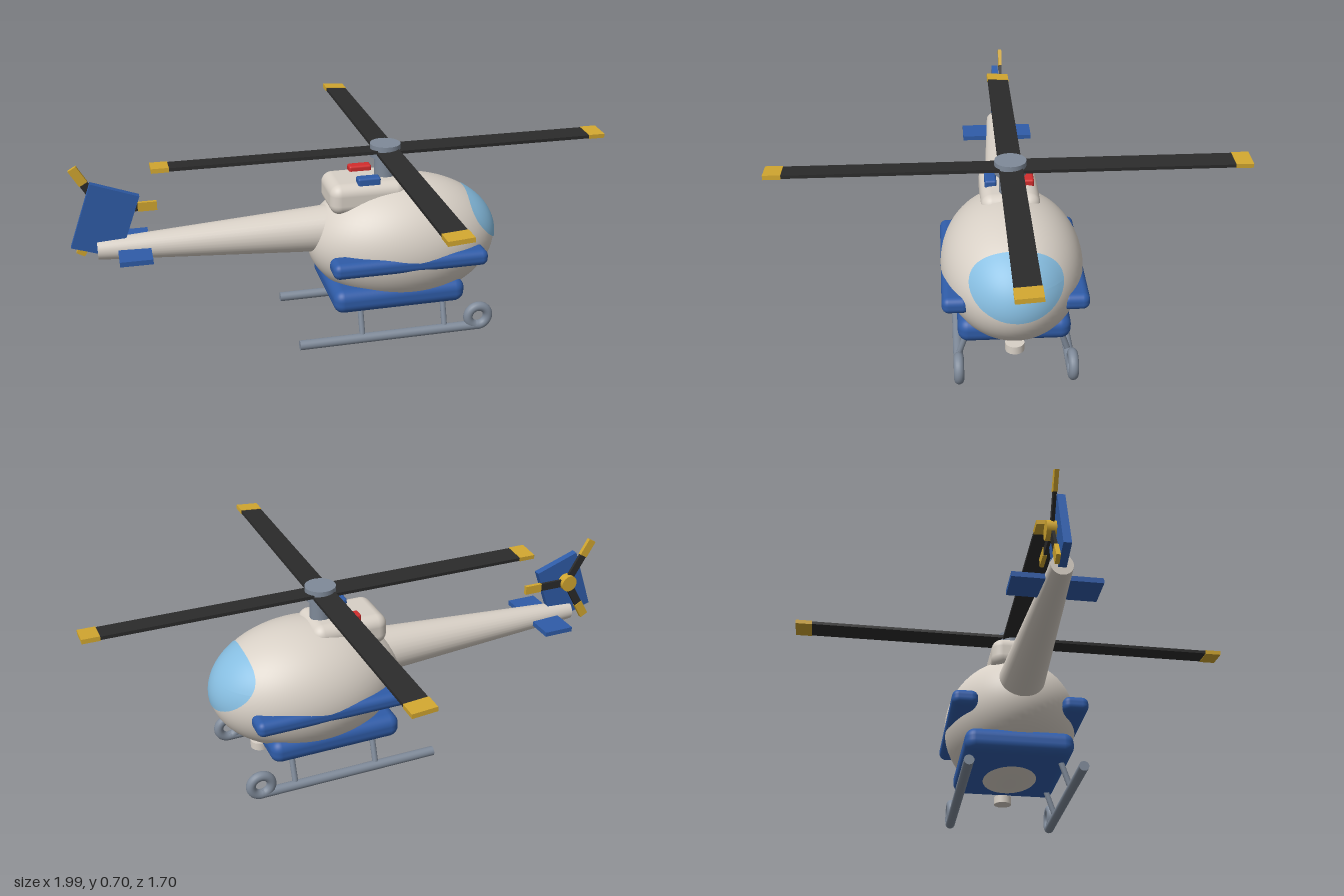
import * as THREE from 'three';
import { RoundedBoxGeometry } from 'three/addons/geometries/RoundedBoxGeometry.js';

const paint = (name, color) => Object.assign(new THREE.MeshStandardMaterial({ color }), { name });

export function createModel() {
  const cream = paint('cream', 0xd8d0c6);
  const blue = paint('blue', 0x2f5ca8);
  const glass = paint('glass', 0x86bde0);
  const grey = paint('grey', 0x7f8a99);
  const dark = paint('dark', 0x2b2b2b);
  const yellow = paint('yellow', 0xd2a730);
  const red = paint('red', 0xd22d2d);

  const model = new THREE.Group();
  model.name = 'helicopter';

  const add = (name, geometry, material, x = 0, y = 0, z = 0, parent = model) => {
    const mesh = new THREE.Mesh(geometry, material);
    mesh.name = name;
    mesh.position.set(x, y, z);
    parent.add(mesh);
    return mesh;
  };
  const box = (w, h, d) => new THREE.BoxGeometry(w, h, d);
  const cylinder = (r, h, r2 = r) => new THREE.CylinderGeometry(r, r2, h, 32);

  // Egg-shaped cabin
  const centre = new THREE.Vector3(0.21, 0.335, 0);
  const radii = new THREE.Vector3(0.36, 0.237, 0.253);
  add('cabin', new THREE.SphereGeometry(1, 64, 40).scale(...radii), cream, ...centre);

  // Windscreen: an oval laid onto the nose of the cabin
  const screen = new THREE.RingGeometry(0.001, 1, 48, 10);
  const p = screen.attributes.position;
  for (let i = 0; i < p.count; i++) {
    const y = 0.413 + 0.103 * p.getY(i), z = -0.16 * p.getX(i);
    const k = 1 - ((y - centre.y) / radii.y) ** 2 - (z / radii.z) ** 2;
    p.setXYZ(i, centre.x + radii.x * Math.sqrt(Math.max(k, 0)) + 0.004, y, z);
  }
  screen.computeVertexNormals();
  add('windscreen', screen, glass);

  // Tail boom and engine cover
  add('tailBoom', cylinder(0.036, 0.95, 0.094).rotateZ(Math.PI / 2), cream, -0.435, 0.39, 0);
  add('engineCover', new RoundedBoxGeometry(0.285, 0.115, 0.21, 5, 0.04), cream, 0.062, 0.527, 0);
  add('leftBeacon', new RoundedBoxGeometry(0.085, 0.035, 0.042, 3, 0.008), blue, 0.064, 0.587, 0.067);
  add('rightBeacon', new RoundedBoxGeometry(0.085, 0.035, 0.042, 3, 0.008), red, 0.064, 0.587, -0.067);

  // Lower pod and side rails
  add('lowerPod', new RoundedBoxGeometry(0.5, 0.09, 0.4, 5, 0.038), blue, 0.16, 0.163, 0);
  for (const s of [1, -1]) {
    add('sideRail', new RoundedBoxGeometry(0.58, 0.06, 0.096, 5, 0.025), blue, 0.185, 0.316, s * 0.205);
  }
  add('landingLight', cylinder(0.034, 0.03), cream, 0.398, 0.1, 0);

  // Landing skids with ring ends and splayed struts
  for (const s of [1, -1]) {
    const skid = new THREE.Group();
    skid.name = s > 0 ? 'leftSkid' : 'rightSkid';
    model.add(skid);
    add('runner', cylinder(0.018, 0.685).rotateZ(Math.PI / 2), grey, 0.118, 0.019, s * 0.2, skid);
    add('ring', new THREE.TorusGeometry(0.039, 0.018, 16, 40), grey, 0.461, 0.057, s * 0.2, skid);
    for (const x of [0.012, 0.33]) {
      const path = new THREE.LineCurve3(
        new THREE.Vector3(x, 0.02, s * 0.2), new THREE.Vector3(x, 0.15, s * 0.155));
      add('strut', new THREE.TubeGeometry(path, 1, 0.011, 12), grey, 0, 0, 0, skid);
    }
  }

  // Main rotor
  const rotor = new THREE.Group();
  rotor.name = 'mainRotor';
  rotor.position.set(0.144, 0.68, 0);
  model.add(rotor);
  add('mast', cylinder(0.04, 0.14), grey, 0, -0.08, 0, rotor);
  add('hub', cylinder(0.056, 0.048), grey, 0, 0, 0, rotor);
  for (let i = 0; i < 4; i++) {
    const arm = new THREE.Group();
    arm.name = 'mainBlade';
    arm.rotation.set(0.07, i * Math.PI / 2, 0, 'YXZ');
    arm.rotation.order = 'YXZ';
    rotor.add(arm);
    add('blade', box(0.767, 0.012, 0.083), dark, 0.4035, 0, 0, arm);
    add('bladeTip', box(0.062, 0.016, 0.086), yellow, 0.818, 0, 0, arm);
  }

  // Tail fin and stabiliser
  const fin = new THREE.Shape([
    [-0.915, 0.643], [-1.0, 0.41], [-0.835, 0.355], [-0.75, 0.583],
  ].map(([x, y]) => new THREE.Vector2(x, y)));
  add('tailFin', new THREE.ExtrudeGeometry(fin, { depth: 0.026, bevelEnabled: false }), blue, 0, 0, -0.013);
  add('stabiliser', box(0.115, 0.018, 0.29), blue, -0.782, 0.388, 0);

  // Three-bladed tail rotor on the right of the fin
  const tail = new THREE.Group();
  tail.name = 'tailRotor';
  tail.position.set(-0.877, 0.53, -0.025);
  model.add(tail);
  add('tailHub', cylinder(0.032, 0.034).rotateX(Math.PI / 2), yellow, 0, 0, -0.003, tail);
  for (let i = 0; i < 3; i++) {
    const arm = new THREE.Group();
    arm.name = 'tailBlade';
    arm.rotation.z = i * Math.PI * 2 / 3;
    tail.add(arm);
    add('blade', box(0.12, 0.03, 0.01), dark, 0.06, 0, 0, arm);
    add('bladeTip', box(0.068, 0.033, 0.014), yellow, 0.153, 0, 0, arm);
  }
  return model;
}
